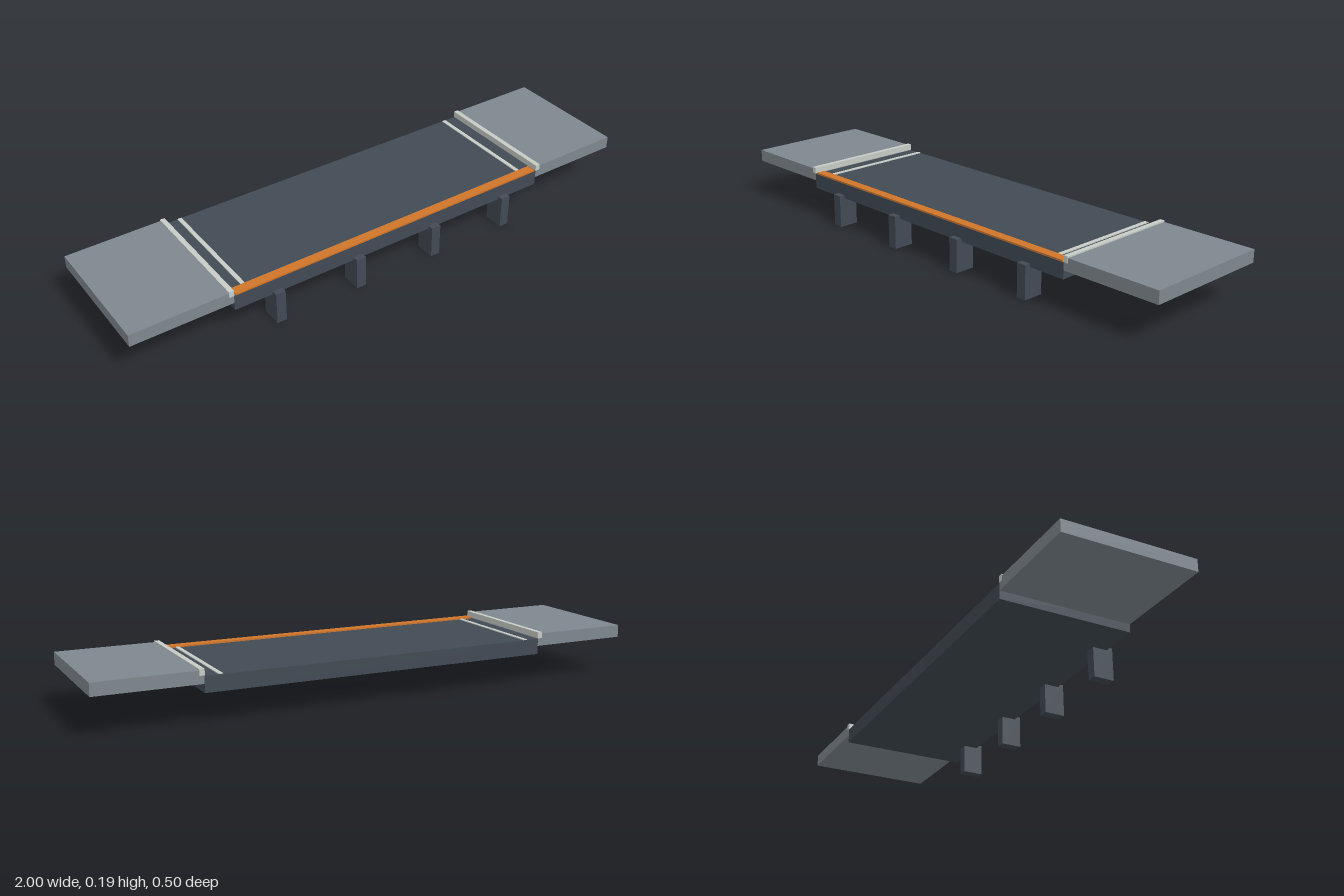
import * as THREE from 'three';

export function createModel() {
  const model = new THREE.Group();
  model.name = 'platform';

  const mat = (name, color) => {
    const m = new THREE.MeshStandardMaterial({ color });
    m.name = name;
    return m;
  };
  const darkSteel = mat('darkSteel', 0x414a54);
  const concrete = mat('concrete', 0x7e888e);
  const orange = mat('orange', 0xd0752a);
  const paleGrey = mat('paleGrey', 0xc6cbc6);

  // Box given by its lower and upper limits on each axis
  const box = (name, material, [x0, x1], [y0, y1], [z0, z1]) => {
    const mesh = new THREE.Mesh(new THREE.BoxGeometry(x1 - x0, y1 - y0, z1 - z0), material);
    mesh.position.set((x0 + x1) / 2, (y0 + y1) / 2, (z0 + z1) / 2);
    mesh.name = name;
    model.add(mesh);
  };

  const back = -0.249, front = 0.228;

  // Main deck and the coloured strip along its front edge
  box('deck', darkSteel, [-0.635, 0.635], [0.108, 0.164], [back, front]);
  box('edgeStrip', orange, [-0.628, 0.628], [0.164, 0.17], [0.192, front - 0.001]);

  // End slabs, raised joint strips and painted lines, mirrored left and right
  for (const side of [1, -1]) {
    const span = (a, b) => (side > 0 ? [a, b] : [-b, -a]);
    const prefix = side > 0 ? 'left' : 'right';
    box(prefix + 'EndSlab', concrete, span(0.635, 1), [0.138, 0.183], [back, front]);
    box(prefix + 'JointStrip', paleGrey, span(0.634, 0.652), [0.166, 0.188], [back - 0.001, front + 0.001]);
    box(prefix + 'DeckLine', paleGrey, span(0.573, 0.588), [0.164, 0.167], [back + 0.002, 0.192]);
  }

  // Four support brackets under the front edge
  for (let i = 0; i < 4; i++) {
    const x = (i - 1.5) * 0.318;
    box('supportBracket', darkSteel, [x - 0.018, x + 0.018], [0, 0.12], [0.175, 0.25]);
  }
  return model;
}
